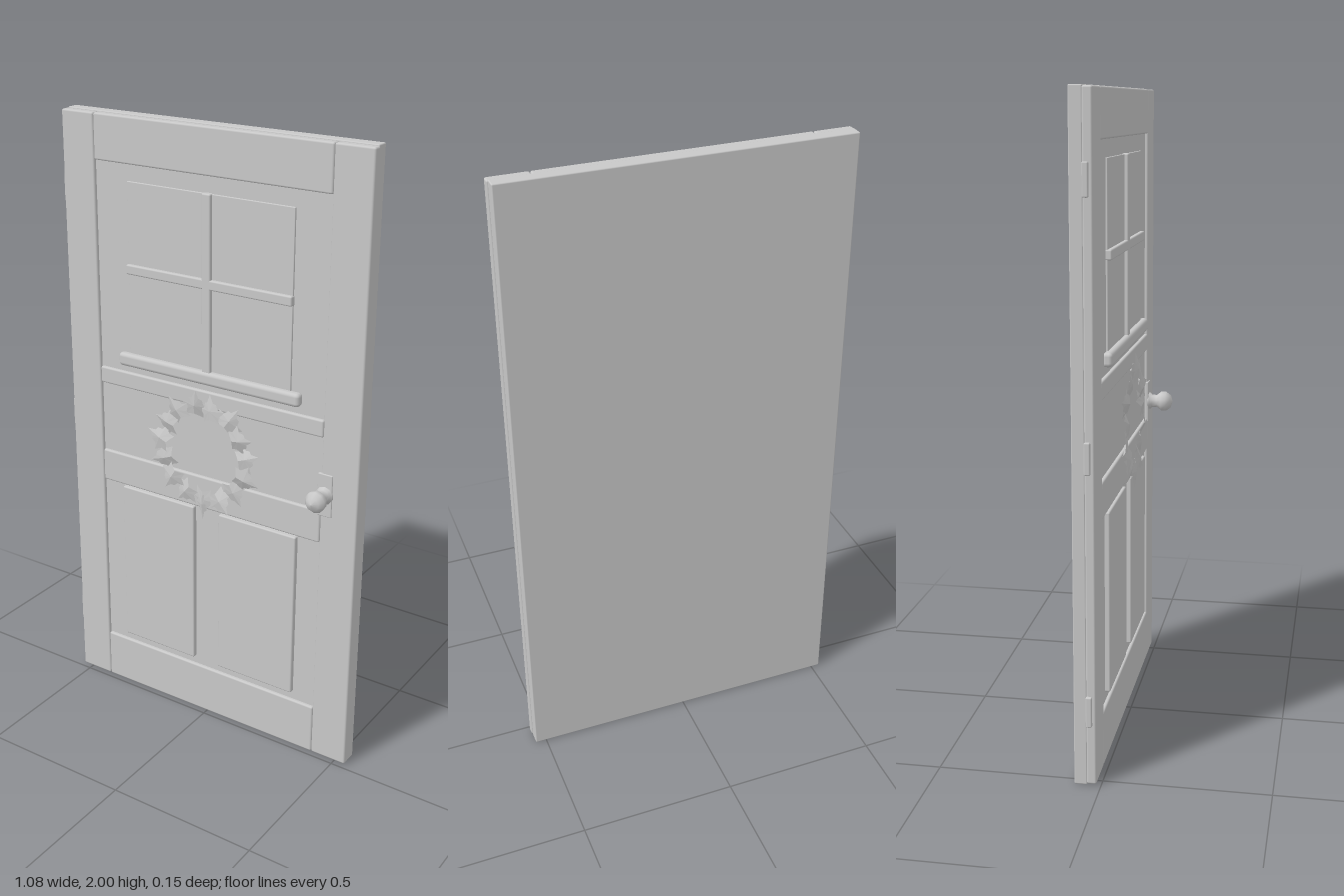
import * as THREE from 'three';
import { RoundedBoxGeometry } from 'three/addons/geometries/RoundedBoxGeometry.js';

export function createModel() {
  const door = new THREE.Group();
  door.name = 'door';
  const grey = new THREE.MeshStandardMaterial({ color: 0xc8c8c8 });
  grey.name = 'plain grey';
  grey.side = THREE.DoubleSide;

  const add = (name, geometry, parent = door) => {
    const mesh = new THREE.Mesh(geometry, grey);
    mesh.name = name;
    parent.add(mesh);
    return mesh;
  };
  // Soft-edged board given by its limits on each axis
  const board = (name, x0, x1, y0, y1, z0, z1, r = 0.006) => {
    const mesh = add(name, new RoundedBoxGeometry(x1 - x0, y1 - y0, z1 - z0, 2, r));
    mesh.position.set((x0 + x1) / 2, (y0 + y1) / 2, (z0 + z1) / 2);
    return mesh;
  };

  // Back slab and recessed field
  board('backSlab', -0.53, 0.536, 0, 2, -0.08, -0.041, 0.004);
  board('field', -0.42, 0.42, 0.02, 1.98, -0.045, -0.024, 0.002);

  // Frame
  board('hingeStile', -0.534, -0.414, 0.005, 1.997, -0.042, -0.013);
  board('latchStile', 0.416, 0.54, 0.005, 1.997, -0.042, -0.013);
  const rails = { bottomRail: [0.005, 0.176], lockRail: [0.78, 0.89], ledgeRail: [1.13, 1.185], topRail: [1.855, 1.997] };
  for (const [name, [y0, y1]] of Object.entries(rails)) {
    board(name, -0.413, 0.415, y0, y1, -0.042, -0.013);
  }

  // Lower raised panels
  board('lowerPanel', -0.331, -0.046, 0.205, 0.776, -0.03, -0.008, 0.005);
  board('lowerPanel', 0.05, 0.335, 0.205, 0.776, -0.03, -0.008, 0.005);

  // Window with glazing bars and sill
  board('windowPane', -0.294, 0.297, 1.24, 1.803, -0.03, -0.018, 0.002);
  board('verticalBar', -0.014, 0.017, 1.24, 1.805, -0.03, -0.006, 0.005);
  board('horizontalBar', -0.296, 0.299, 1.515, 1.546, -0.03, -0.006, 0.005);
  board('windowSill', -0.33, 0.336, 1.21, 1.253, -0.03, 0.001, 0.012);

  // Hinges
  for (const y of [0.235, 0.993, 1.755]) {
    board('hinge', -0.544, -0.525, y - 0.047, y + 0.047, -0.042, -0.024, 0.004);
  }

  // Knob and its plate
  board('knobPlate', 0.405, 0.455, 0.877, 1.017, -0.02, -0.009, 0.003);
  const profile = [[0.029, -0.012], [0.029, -0.005], [0.022, 0.001], [0.021, 0.018],
    [0.033, 0.033], [0.034, 0.05], [0.022, 0.066], [0, 0.073]];
  const knob = add('knob', new THREE.LatheGeometry(profile.map(([r, z]) => new THREE.Vector2(r, z)), 10));
  knob.rotation.x = Math.PI / 2;
  knob.position.set(0.43, 0.948, 0);

  // Wreath of pointed leaves, each creased along its middle
  const half = [[0.012, -0.028], [0.03, -0.036], [0.029, -0.016], [0.05, 0.004],
    [0.028, 0.01], [0.023, 0.026], [0.012, 0.03]];
  const outline = [[0, -0.024], ...half, [0, 0.056], ...half.map(([x, y]) => [-x, y]).reverse()];
  const positions = [];
  const lift = (x, y) => 0.012 - Math.abs(x) * 0.28 - y * y * 2;
  outline.forEach(([x, y], i) => {
    const [nx, ny] = outline[(i + 1) % outline.length];
    positions.push(0, 0.004, 0.013, x, y, lift(x, y), nx, ny, lift(nx, ny));
  });
  const leaf = new THREE.BufferGeometry();
  leaf.setAttribute('position', new THREE.Float32BufferAttribute(positions, 3));
  leaf.computeVertexNormals();

  const wreath = new THREE.Group();
  wreath.name = 'wreath';
  wreath.position.set(0.003, 0.985, 0.002);
  door.add(wreath);
  const count = 15;
  for (let i = 0; i < count; i++) {
    const a = (i / count) * Math.PI * 2 - Math.PI / 2;
    const mesh = add('leaf', leaf, wreath);
    const radius = 0.156 + 0.004 * Math.sin(i * 2.4);
    mesh.position.set(Math.cos(a) * radius, Math.sin(a) * radius, i % 2 ? 0.006 : 0);
    mesh.rotation.set(0.12 * Math.sin(i * 1.7), 0.16 * Math.cos(i * 2.3),
      a - Math.PI / 2 + 0.35 * Math.sin(i * 2.1), 'ZXY');
  }
  // Long leaf hanging at the bottom
  const tail = add('hangingLeaf', leaf, wreath);
  tail.position.set(0, -0.17, 0.003);
  tail.rotation.z = Math.PI;
  tail.scale.set(0.55, 1.05, 1);

  return door;
}
